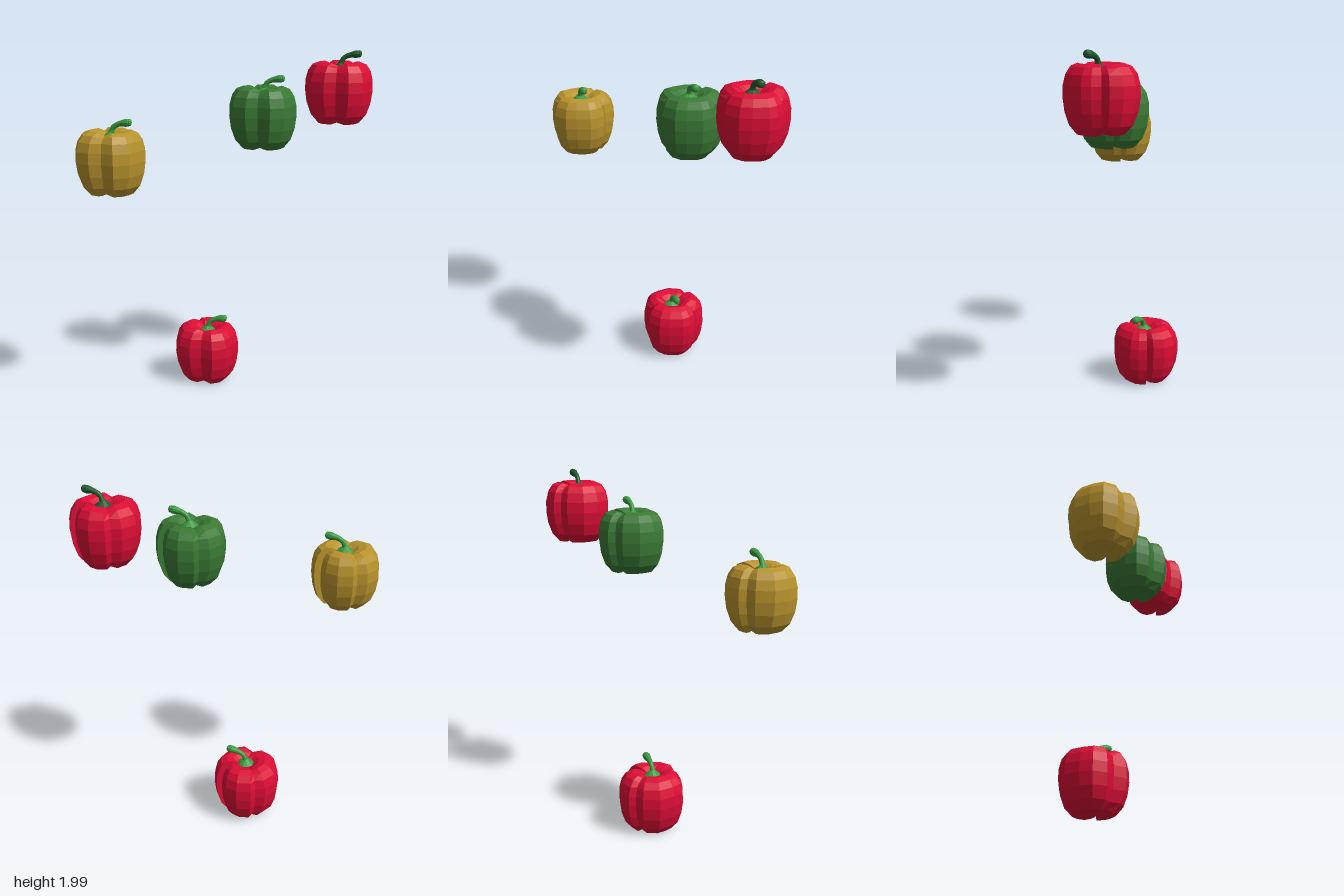
import * as THREE from 'three';

// Lobed outline seen from above as [x, z] around the stem, in hundredths
const OUTLINE = [
  [18.3, -2], [16.4, 6.2], [14, 12], [6.6, 17], [-0.8, 14.7], [-7.4, 16.3], [-15.3, 13.2], [-18.6, 6.6],
  [-20.6, -2.5], [-16.5, -11.5], [-11.3, -13.8], [-9.9, -17.7], [-1.7, -20.2], [5.8, -18.1], [9.9, -12.8],
  [9.6, -7.6], [14, -11], [16.9, -6.8],
];
// Outline points lying in a groove between lobes, with depth
const GROOVE = { 4: 0.8, 10: 0.8, 15: 1, 14: 0.5 };
// Side profile from the bottom centre to the dip under the stem: [scale, y]
const PROFILE = [
  [0, 0.035], [0.25, 0.025], [0.48, 0.006], [0.62, 0.008], [0.83, 0.055], [0.95, 0.12], [1, 0.19],
  [0.99, 0.25], [0.92, 0.302], [0.79, 0.338], [0.6, 0.352], [0.4, 0.342], [0.25, 0.32], [0, 0.31],
];

function bodyGeometry() {
  const positions = [], indices = [], n = OUTLINE.length;
  PROFILE.forEach(([s, y], row) => {
    OUTLINE.forEach(([x, z], i) => {
      const g = GROOVE[i] || 0;
      // grooves run over the shoulder and under the base
      const shift = row > 8 && row < 12 ? -0.018 * g : row > 1 && row < 4 ? 0.014 * g : 0;
      positions.push(x * s / 100, y + shift, z * s / 100);
    });
    if (row === 0) return;
    for (let i = 0; i < n; i++) {
      const j = (i + 1) % n, a = (row - 1) * n, b = row * n;
      if (row > 1) indices.push(a + i, b + i, a + j);
      if (row < PROFILE.length - 1) indices.push(a + j, b + i, b + j);
      else continue;
    }
  });
  const geometry = new THREE.BufferGeometry();
  geometry.setAttribute('position', new THREE.Float32BufferAttribute(positions, 3));
  geometry.setIndex(indices);
  geometry.computeVertexNormals();
  return geometry;
}

// Stem: rings swept along a bent path, flared at the base and knobbed at the tip
function stemGeometry() {
  const path = new THREE.CatmullRomCurve3([
    [0, 0.315, 0.004], [0.002, 0.345, 0.004], [0.018, 0.376, 0.003], [0.05, 0.391, 0.001], [0.113, 0.4, 0],
  ].map((p) => new THREE.Vector3(...p)));
  const radii = [0.052, 0.035, 0.016, 0.014, 0.014, 0.014, 0.015, 0.016, 0.019, 0.022, 0.021, 0.012];
  const rows = radii.length - 1, sides = 10;
  const geometry = new THREE.TubeGeometry(path, rows, 1, sides, false);
  const pos = geometry.attributes.position, v = new THREE.Vector3();
  for (let r = 0; r <= rows; r++) {
    const centre = path.getPointAt(r / rows);
    for (let k = 0; k <= sides; k++) {
      const i = r * (sides + 1) + k;
      v.fromBufferAttribute(pos, i).sub(centre).multiplyScalar(radii[r]).add(centre);
      pos.setXYZ(i, v.x, v.y, v.z);
    }
  }
  geometry.computeVertexNormals();
  return geometry;
}

export function createModel() {
  const group = new THREE.Group();
  const body = bodyGeometry(), stem = stemGeometry();
  const cap = new THREE.SphereGeometry(0.02, 10, 6);
  const RED = 0xdc0d35, GREEN = 0x3a7a35, YELLOW = 0xb8932d, LEAF = 0x3a9a40, DARK = 0x1f5a2a;
  const peppers = [
    ['lowerRedPepper', RED, LEAF, -0.155, 0, -0.12],
    ['yellowPepper', YELLOW, LEAF, -0.57, 1.245, 0.335],
    ['greenPepper', GREEN, LEAF, 0.18, 1.452, -0.112],
    ['upperRedPepper', RED, DARK, 0.583, 1.58, -0.312],
  ];
  for (const [name, bodyColor, stemColor, x, y, z] of peppers) {
    const pepper = new THREE.Group();
    pepper.name = name;
    pepper.position.set(x, y, z);
    const add = (part, geometry, color) => {
      const material = new THREE.MeshStandardMaterial({ color, flatShading: true, side: THREE.DoubleSide });
      const mesh = new THREE.Mesh(geometry, material);
      mesh.name = part;
      pepper.add(mesh);
      return mesh;
    };
    add('body', body, bodyColor);
    add('stem', stem, stemColor);
    // rounded end of the stem
    const tip = add('stemTip', cap, stemColor);
    tip.position.set(0.104, 0.399, 0);
    tip.scale.set(0.65, 1, 1);
    group.add(pepper);
  }
  return group;
}
